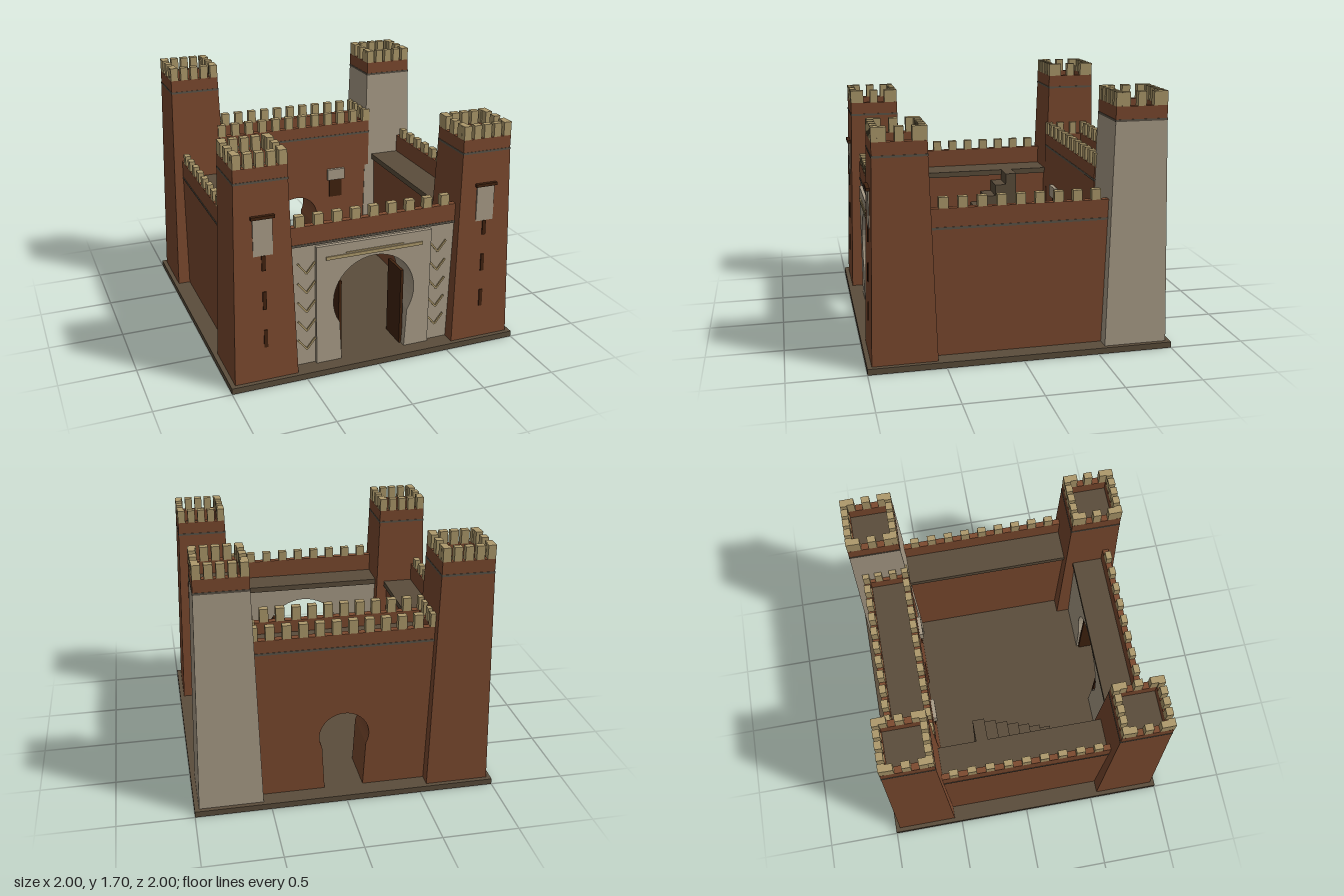
import * as THREE from 'three';

const mat = (name, color) => {
  const m = new THREE.MeshStandardMaterial({ color });
  m.name = name;
  return m;
};

export function createModel() {
  const clay = mat('terracotta', 0x7c4a2f);
  const plaster = mat('beige plaster', 0xaa9d88);
  const sand = mat('sand', 0xae9a6c);
  const earth = mat('dark earth', 0x5b4d3b);
  const wood = mat('dark wood', 0x40220f);
  const trim = mat('grey trim', 0x5c5448);

  const root = new THREE.Group();
  root.name = 'fortress';
  const group = (name, parent = root) => {
    const g = new THREE.Group();
    g.name = name;
    parent.add(g);
    return g;
  };
  const add = (parent, name, geo, material) => {
    const m = new THREE.Mesh(geo, material);
    m.name = name;
    parent.add(m);
    return m;
  };
  // Box given by its extents along each axis
  const box = (parent, name, material, x0, x1, y0, y1, z0, z1) => {
    const m = add(parent, name, new THREE.BoxGeometry(x1 - x0, y1 - y0, z1 - z0), material);
    m.position.set((x0 + x1) / 2, (y0 + y1) / 2, (z0 + z1) / 2);
    return m;
  };
  // Wall outline with a horseshoe arch cut up from the ground
  const archWall = (half, top, r, cy, foot, tilt, depth) => {
    const s = new THREE.Shape();
    s.moveTo(-half, 0.04);
    s.lineTo(-foot, 0.04);
    for (let i = 0; i <= 28; i++) {
      const a = Math.PI + tilt - (i / 28) * (Math.PI + 2 * tilt);
      s.lineTo(r * Math.cos(a), cy + r * Math.sin(a));
    }
    s.lineTo(foot, 0.04);
    s.lineTo(half, 0.04);
    s.lineTo(half, top);
    s.lineTo(-half, top);
    return new THREE.ExtrudeGeometry(s, { depth, bevelEnabled: false });
  };
  // Rectangular parapet ring, open in the middle
  const ring = (parent, name, material, hx, hz, t, y0, y1) => {
    const s = new THREE.Shape([[-hx, -hz], [hx, -hz], [hx, hz], [-hx, hz]].map(p => new THREE.Vector2(...p)));
    const [a, b] = [hx - t, hz - t];
    s.holes.push(new THREE.Path([[-a, -b], [-a, b], [a, b], [a, -b]].map(p => new THREE.Vector2(...p))));
    const geo = new THREE.ExtrudeGeometry(s, { depth: y1 - y0, bevelEnabled: false });
    geo.rotateX(-Math.PI / 2);
    add(parent, name, geo, material).position.y = y0;
  };
  // Row of merlons centred on (x, z), running along x or z
  const merlons = (parent, axis, n, pitch, width, thick, x, z, y0, y1) => {
    for (let i = 0; i < n; i++) {
      const o = (i - (n - 1) / 2) * pitch;
      const [cx, cz, hw, hd] = axis === 'x'
        ? [x + o, z, width / 2, thick / 2] : [x, z + o, thick / 2, width / 2];
      box(parent, 'merlon', sand, cx - hw, cx + hw, y0, y1, cz - hd, cz + hd);
    }
  };

  // Ground slab
  box(root, 'groundSlab', earth, -1, 1, 0, 0.04, -1, 1);

  // Corner towers
  const tower = (name, x, z, top, material) => {
    const g = group(name);
    g.position.set(x, 0, z);
    const floor = top - 0.09, h = floor - 0.04;
    const body = new THREE.CylinderGeometry(0.171 * Math.SQRT2, 0.21 * Math.SQRT2, h, 4);
    body.rotateY(Math.PI / 4);
    const flat = body.toNonIndexed();
    flat.computeVertexNormals();
    add(g, 'towerBody', flat, material).position.y = 0.04 + h / 2;
    box(g, 'towerFloor', earth, -0.13, 0.13, floor, floor + 0.008, -0.13, 0.13);
    ring(g, 'towerParapet', clay, 0.17, 0.17, 0.045, floor, top);
    ring(g, 'towerTrim', trim, 0.173, 0.173, 0.01, floor - 0.006, floor + 0.008);
    for (const s of [-1, 1]) {
      merlons(g, 'x', 5, 0.0715, 0.052, 0.045, 0, s * 0.1475, top, top + 0.09);
      merlons(g, 'z', 3, 0.105, 0.055, 0.045, s * 0.1475, 0, top, top + 0.09);
    }
    return g;
  };
  for (const s of [-1, 1]) {
    const g = tower(s > 0 ? 'frontLeftTower' : 'frontRightTower', s * 0.76, 0.76, 1.45, clay);
    // Shuttered window and arrow slits
    box(g, 'windowPanel', plaster, -0.063, 0.063, 0.89, 1.13, 0.16, 0.189);
    box(g, 'windowHood', wood, -0.075, 0.075, 1.13, 1.15, 0.16, 0.2);
    for (const [y0, y1, z] of [[0.27, 0.39, 0.204], [0.53, 0.65, 0.197], [0.79, 0.89, 0.19]]) {
      const slit = box(g, 'arrowSlit', wood, -0.012, 0.012, y0, y1, z - 0.005, z + 0.004);
      slit.rotation.x = -0.028;
    }
  }
  tower('backRightTower', -0.76, -0.76, 1.61, clay);
  tower('backLeftTower', 0.76, -0.76, 1.61, plaster);

  // Side walls with walkways
  for (const s of [-1, 1]) {
    const g = group(s > 0 ? 'leftWall' : 'rightWall');
    const span = (name, m, a, b, y0, y1, len) =>
      box(g, name, m, Math.min(s * a, s * b), Math.max(s * a, s * b), y0, y1, -len, len);
    span('wallBody', clay, 0.65, 0.885, 0.04, 0.84, 0.6);
    span('walkway', earth, 0.63, 0.845, 0.84, 0.88, 0.6);
    span('wallParapet', clay, 0.845, 0.885, 0.84, 1.01, 0.6);
    span('wallTrim', trim, 0.88, 0.888, 0.875, 0.89, 0.6);
    merlons(g, 'z', 9, 0.123, 0.06, 0.04, s * 0.865, 0, 1.01, 1.08);
  }

  // Front gate wall
  const gate = group('gateWall');
  add(gate, 'gateWallBody', archWall(0.6, 0.84, 0.285, 0.465, 0.225, 0.57, 0.235), plaster).position.z = 0.645;
  box(gate, 'gateWallTop', plaster, -0.6, 0.6, 0.84, 0.88, 0.845, 0.88);
  box(gate, 'gateWalkway', earth, -0.6, 0.6, 0.84, 0.88, 0.63, 0.845);
  box(gate, 'gateParapet', clay, -0.6, 0.6, 0.88, 1.01, 0.842, 0.884);
  box(gate, 'gateTrim', trim, -0.6, 0.6, 0.877, 0.892, 0.875, 0.888);
  merlons(gate, 'x', 9, 0.125, 0.06, 0.042, 0, 0.863, 1.01, 1.08);
  add(gate, 'gateFrame', archWall(0.4, 0.865, 0.285, 0.465, 0.225, 0.57, 0.025), plaster).position.z = 0.88;
  box(gate, 'lintelBand', sand, -0.335, 0.335, 0.768, 0.79, 0.9, 0.913);
  box(gate, 'lintelLine', sand, -0.2, 0.2, 0.797, 0.803, 0.9, 0.911);
  // Open door leaves and carved chevrons
  for (const s of [-1, 1]) {
    box(gate, 'doorLeaf', wood, s * 0.22 - 0.01, s * 0.22 + 0.01, 0.04, 0.58, 0.66, 0.86);
    for (let i = 0; i < 5; i++) {
      for (const t of [-1, 1]) {
        const bar = add(gate, 'chevron', new THREE.BoxGeometry(0.095, 0.012, 0.012), sand);
        bar.position.set(s * 0.46 + t * 0.029, 0.185 + i * 0.135, 0.884);
        bar.rotation.z = t * 0.9;
      }
    }
  }

  // Rear keep with a passage
  const keep = group('keep');
  add(keep, 'keepBody', archWall(0.6, 1.07, 0.165, 0.43, 0.13, 0.48, 0.315), clay).position.z = -0.885;
  const crown = group('keepCrown', keep);
  crown.position.z = -0.7275;
  box(crown, 'keepRoof', earth, -0.56, 0.56, 1.07, 1.078, -0.12, 0.12);
  ring(crown, 'keepParapet', clay, 0.6, 0.1575, 0.045, 1.07, 1.16);
  ring(crown, 'keepTrim', trim, 0.603, 0.1605, 0.01, 1.06, 1.075);
  for (const s of [-1, 1]) {
    merlons(crown, 'x', 12, 0.105, 0.057, 0.045, 0, s * 0.135, 1.16, 1.25);
    merlons(crown, 'z', 2, 0.1, 0.05, 0.045, s * 0.5775, 0, 1.16, 1.25);
    // Courtyard windows
    box(keep, 'keepWindow', wood, s * 0.32 - 0.05, s * 0.32 + 0.05, 0.57, 0.715, -0.575, -0.562);
    box(keep, 'keepLintel', plaster, s * 0.32 - 0.07, s * 0.32 + 0.07, 0.715, 0.8, -0.575, -0.545);
  }

  // Courtyard stairs up to the right walkway
  const stairs = group('stairs');
  for (let i = 0; i < 10; i++) {
    const z = 0.513 - i * 0.0818;
    box(stairs, 'step', earth, -0.65, -0.48, 0.04, 0.04 + (i + 1) * 0.084, z - 0.0818, z);
  }

  return root;
}
